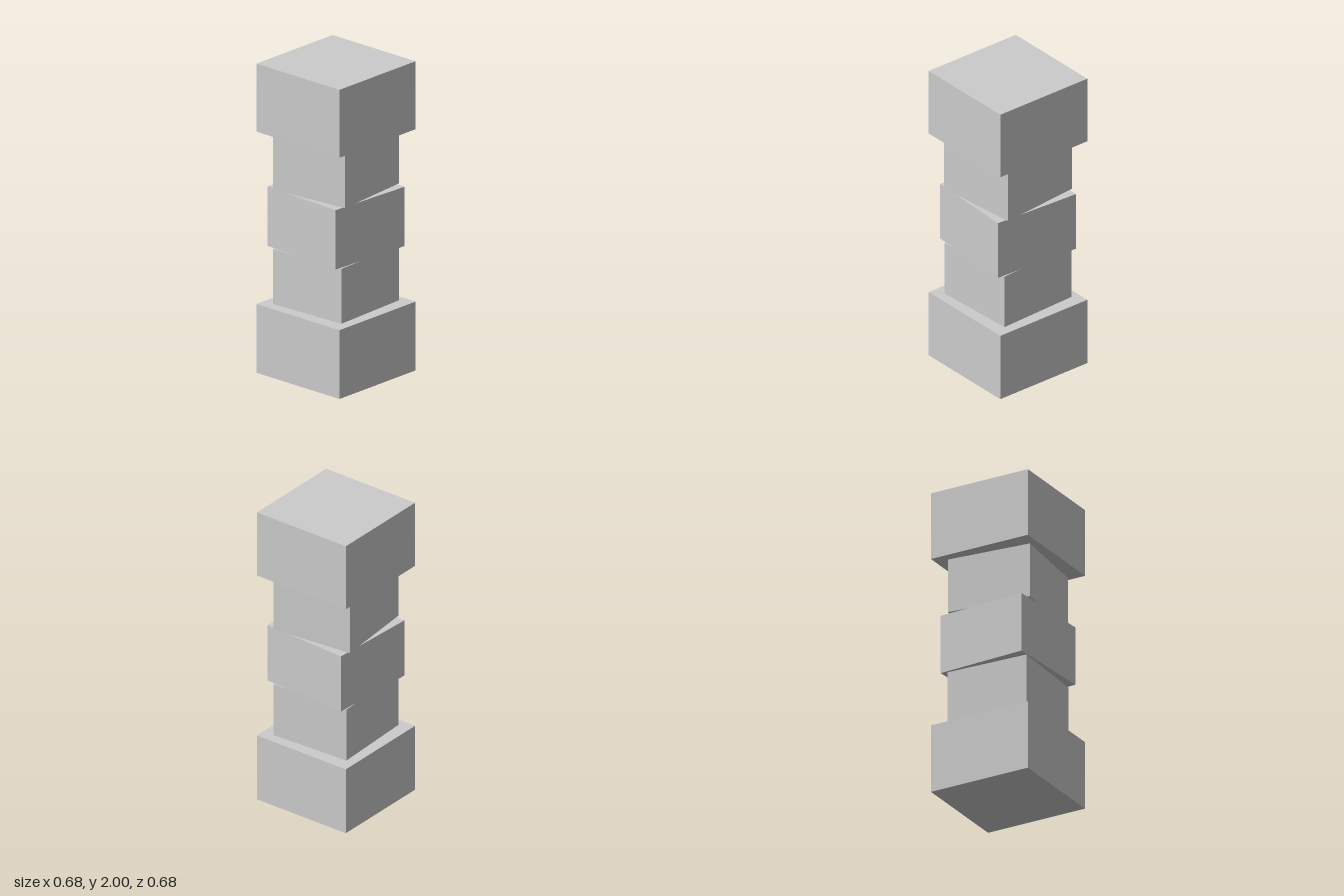
import * as THREE from 'three';

export function createModel() {
  const group = new THREE.Group();
  group.name = 'blockTower';
  const material = new THREE.MeshStandardMaterial({ color: 0xcccccc, flatShading: true });

  // Stacked square blocks: name, bottom, top, width, twist in degrees
  const blocks = [
    ['baseBlock', 0, 0.445, 0.684, 0],
    ['lowerBlock', 0.45, 0.805, 0.544, 2.4],
    ['middleBlock', 0.813, 1.197, 0.59, -2.9],
    ['upperBlock', 1.198, 1.551, 0.548, 5.55],
    ['topBlock', 1.56, 2, 0.684, 0],
  ];

  for (const [name, bottom, top, width, twist] of blocks) {
    const block = new THREE.Mesh(new THREE.BoxGeometry(width, top - bottom, width), material);
    block.name = name;
    block.position.y = (bottom + top) / 2;
    block.rotation.y = THREE.MathUtils.degToRad(twist);
    group.add(block);
  }
  return group;
}
